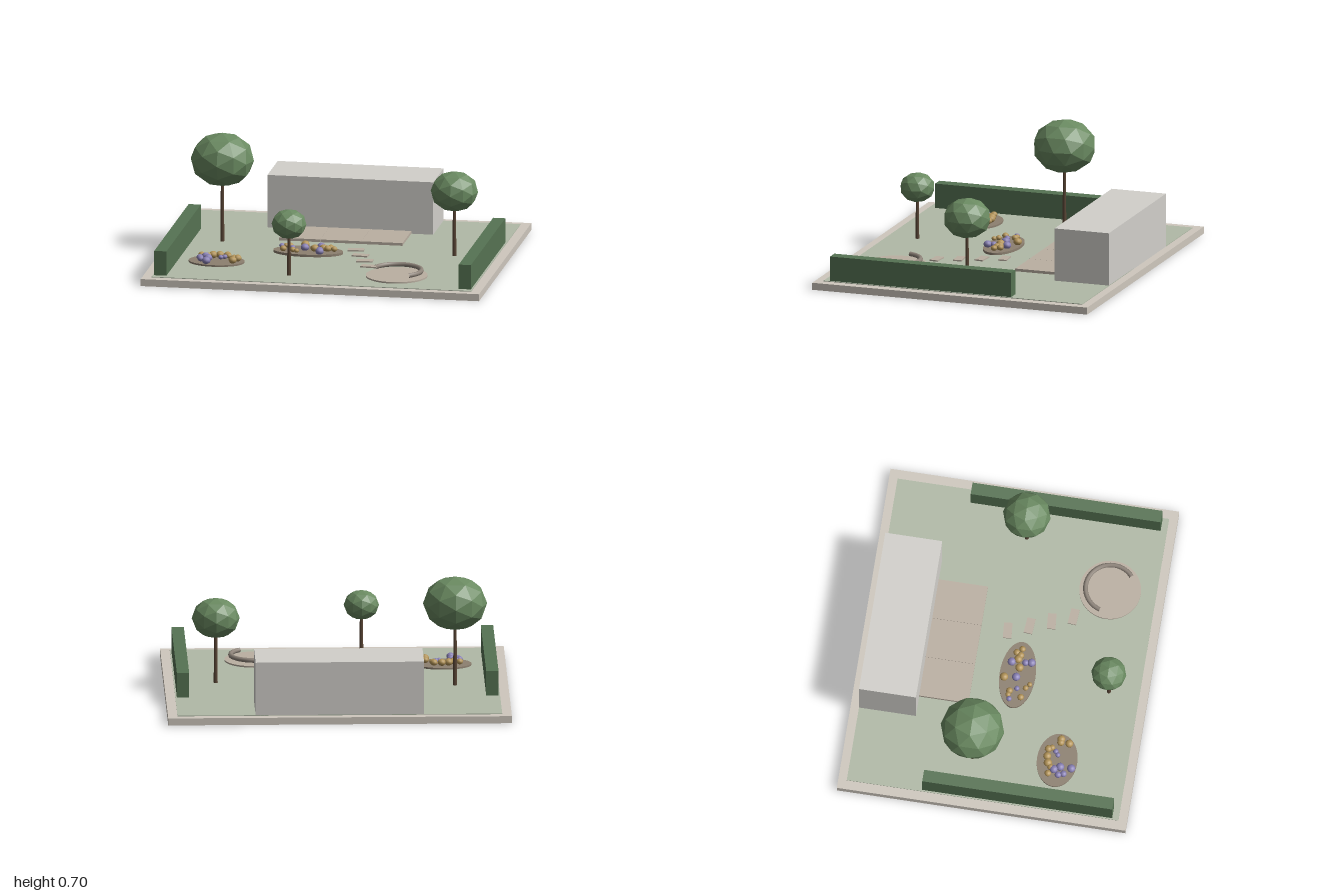
import * as THREE from 'three';

const mat = (color, flatShading = false) => {
  const m = new THREE.MeshStandardMaterial({ color });
  m.flatShading = flatShading;
  return m;
};
const M = {
  stone: mat(0xcfc8be), lawn: mat(0xb1baa7), wall: mat(0xd2d0cb), paving: mat(0xbbb0a2),
  hedge: mat(0x567353), leaf: mat(0x6a8a61, true), bark: mat(0x5a4636), soil: mat(0x8d8070),
  gold: mat(0xb39458), violet: mat(0x8880b4), bench: mat(0x8f857b),
};

export function createModel() {
  const model = new THREE.Group();
  model.name = 'garden';

  const add = (name, geometry, material, x, y, z, parent = model) => {
    const mesh = new THREE.Mesh(geometry, material);
    mesh.name = name;
    mesh.position.set(x, y, z);
    parent.add(mesh);
    return mesh;
  };
  // Box given by its ranges along x, y and z
  const box = (name, material, x0, x1, y0, y1, z0, z1) =>
    add(name, new THREE.BoxGeometry(x1 - x0, y1 - y0, z1 - z0), material,
      (x0 + x1) / 2, (y0 + y1) / 2, (z0 + z1) / 2);

  // Ground, lawn and house
  box('basePlate', M.stone, -1, 1, 0, 0.042, -0.85, 0.85);
  box('lawn', M.lawn, -0.945, 0.945, 0.03, 0.046, -0.8, 0.8);
  box('house', M.wall, -0.49, 0.49, 0.042, 0.36, -0.8, -0.465);

  // Terrace of three slabs
  const slab = 0.73 / 3;
  for (let i = 0; i < 3; i++) {
    const x = -0.368 + i * slab;
    box('terraceSlab', M.paving, x, x + slab - 0.001, 0.042, 0.062, -0.465, -0.175);
  }

  // Hedges along both sides
  box('rightHedge', M.hedge, -0.936, -0.864, 0.042, 0.192, -0.357, 0.762);
  box('leftHedge', M.hedge, 0.864, 0.936, 0.042, 0.192, -0.357, 0.762);

  // Trees: x, z, crown radius, crown centre height
  const trees = [[-0.69, -0.1, 0.187, 0.536], [0.7, 0, 0.14, 0.433], [-0.165, 0.62, 0.103, 0.353]];
  for (const [x, z, r, y] of trees) {
    const tree = new THREE.Group();
    tree.name = 'tree';
    tree.position.set(x, 0, z);
    model.add(tree);
    const h = y - 0.044;
    add('trunk', new THREE.CylinderGeometry(0.008, 0.012, h, 8), M.bark, 0, 0.044 + h / 2, 0, tree);
    add('crown', new THREE.IcosahedronGeometry(r, 1), M.leaf, 0, y, 0, tree).scale.y = 0.855;
  }

  // Flower beds: oval soil with flowers as [x, z, radius]
  const beds = [
    {
      x: -0.15, z: 0.08, rx: 0.205, rz: 0.105, top: 0.06,
      gold: [[-0.18, 0.005, 0.025], [-0.26, 0.05, 0.02], [-0.29, 0.12, 0.02], [-0.11, 0.085, 0.025],
        [-0.06, 0.07, 0.024], [-0.02, 0.055, 0.02], [0.005, 0.085, 0.019], [-0.035, 0.08, 0.022],
        [-0.205, 0.16, 0.015], [-0.23, 0.14, 0.017], [-0.285, 0.045, 0.016]],
      violet: [[-0.08, 0.035, 0.025], [-0.17, 0.075, 0.025], [-0.31, 0.055, 0.016],
        [-0.24, 0.09, 0.016], [-0.075, 0.115, 0.02], [-0.07, 0.15, 0.025]],
    },
    {
      x: -0.635, z: 0.39, rx: 0.164, rz: 0.118, top: 0.056,
      gold: [[-0.665, 0.34, 0.025], [-0.625, 0.33, 0.024], [-0.58, 0.33, 0.022], [-0.57, 0.35, 0.018],
        [-0.69, 0.36, 0.02], [-0.73, 0.35, 0.02], [-0.53, 0.395, 0.022], [-0.51, 0.395, 0.024],
        [-0.53, 0.445, 0.024]],
      violet: [[-0.7, 0.38, 0.025], [-0.73, 0.41, 0.02], [-0.68, 0.415, 0.025], [-0.59, 0.375, 0.016],
        [-0.61, 0.39, 0.015], [-0.68, 0.48, 0.025], [-0.72, 0.44, 0.02]],
    },
  ];
  for (const b of beds) {
    const bed = new THREE.Group();
    bed.name = 'flowerBed';
    model.add(bed);
    const h = b.top - 0.042;
    add('soil', new THREE.CylinderGeometry(1, 1, h, 40), M.soil, b.x, 0.042 + h / 2, b.z, bed)
      .scale.set(b.rx, 1, b.rz);
    for (const kind of ['gold', 'violet']) {
      for (const [x, z, r] of b[kind]) {
        add(kind + 'Flower', new THREE.SphereGeometry(r, 10, 8), M[kind], x, 0.076, z, bed).scale.y = 0.85;
      }
    }
  }

  // Stepping stones leading to the seat
  for (let i = 0; i < 4; i++) {
    const stone = add('steppingStone', new THREE.BoxGeometry(0.095, 0.012, 0.05), M.paving,
      0.115 + i * 0.048, 0.048, -0.02 + i * 0.122);
    stone.rotation.y = i % 2 ? -0.08 : 0.08;
  }

  // Round seating place with a curved bench
  add('roundPaving', new THREE.CylinderGeometry(0.18, 0.18, 0.013, 48), M.paving, 0.455, 0.0485, 0.53);
  const arc = Math.PI * 1.2;
  const bench = new THREE.TorusGeometry(0.144, 0.014, 8, 40, arc);
  bench.rotateZ(-0.9);
  bench.rotateX(-Math.PI / 2);
  add('curvedBench', bench, M.bench, 0.455, 0.081, 0.53);
  // Bench end caps
  for (const a of [-0.9, arc - 0.9]) {
    add('benchEnd', new THREE.CircleGeometry(0.014, 8), M.bench,
      0.455 + 0.144 * Math.cos(a), 0.081, 0.53 - 0.144 * Math.sin(a))
      .rotation.y = a < 0 ? a + Math.PI : a;
  }
  return model;
}
